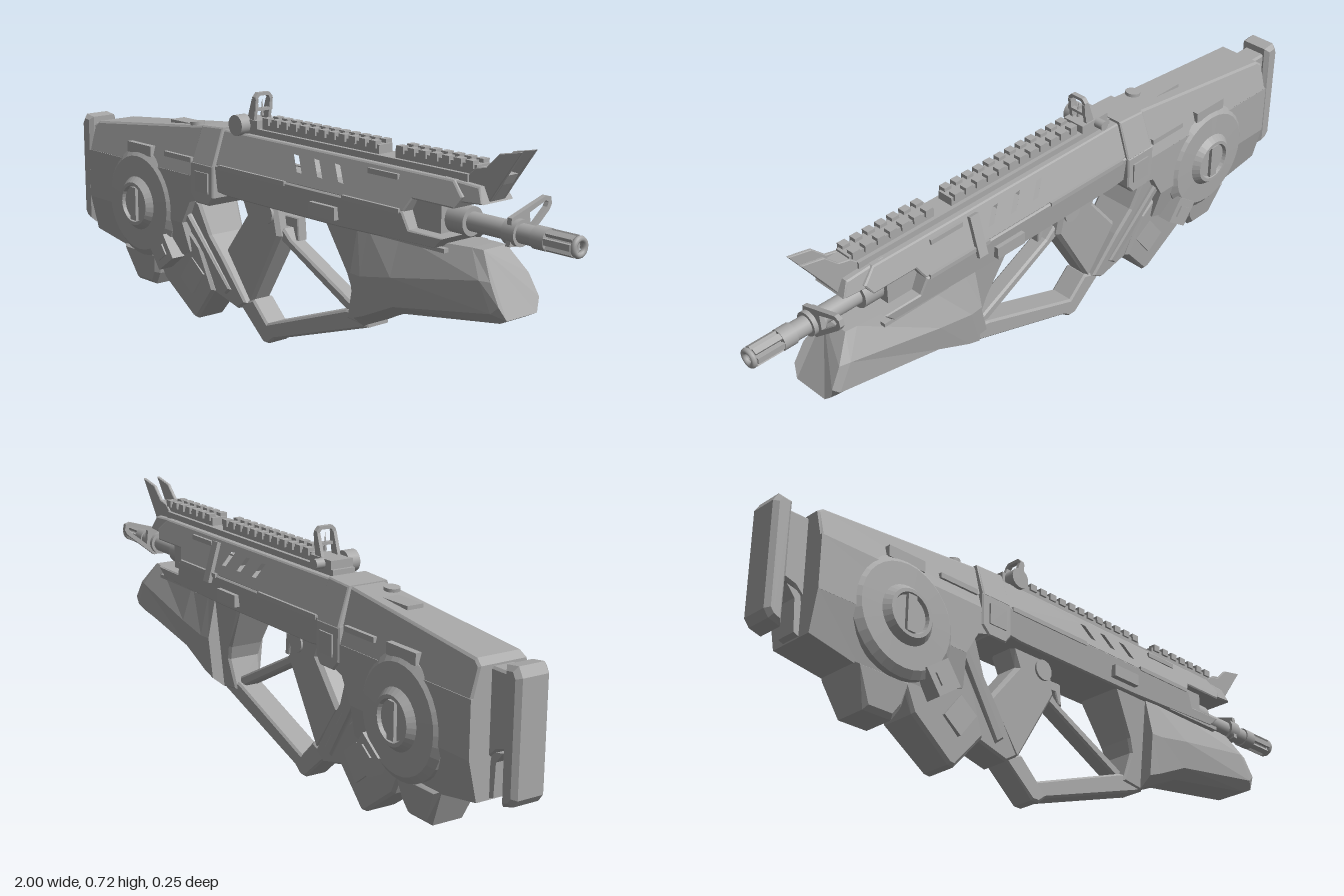
import * as THREE from 'three';

export function createModel() {
  const root = new THREE.Group();
  const grey = new THREE.MeshStandardMaterial({ color: 0xa8a8a8 });
  grey.name = 'gunmetal grey';

  const add = (name, geo, x = 0, y = 0, z = 0) => {
    const m = new THREE.Mesh(geo, grey);
    m.name = name;
    m.position.set(x, y, z);
    root.add(m);
    return m;
  };
  const box = (name, x0, x1, y0, y1, z0, z1) =>
    add(name, new THREE.BoxGeometry(x1 - x0, y1 - y0, z1 - z0), (x0 + x1) / 2, (y0 + y1) / 2, (z0 + z1) / 2);
  const vec = (pts) => pts.map(([x, y]) => new THREE.Vector2(x, y));

  // Side profile extruded across z; half width goes from wLow (lowest y) to wHigh (highest y)
  function slab(name, pts, wLow, wHigh = wLow, bevel = 0.006, holes = []) {
    const shape = new THREE.Shape(vec(pts));
    holes.forEach((h) => shape.holes.push(new THREE.Path(vec(h))));
    const geo = new THREE.ExtrudeGeometry(shape, {
      depth: 2 * (wLow - bevel), bevelEnabled: bevel > 0, bevelSize: bevel,
      bevelThickness: bevel, bevelOffset: -bevel, bevelSegments: 1,
    });
    geo.translate(0, 0, -(wLow - bevel));
    const ys = pts.map((p) => p[1]);
    const lo = Math.min(...ys), hi = Math.max(...ys);
    const p = geo.attributes.position;
    for (let i = 0; i < p.count; i++) {
      const t = (p.getY(i) - lo) / (hi - lo);
      p.setZ(i, p.getZ(i) * (1 + t * (wHigh / wLow - 1)));
    }
    geo.computeVertexNormals();
    return add(name, geo);
  }
  // Cylinder along x
  const rod = (name, x0, x1, r, y) => {
    const g = new THREE.CylinderGeometry(r, r, x1 - x0, 24);
    g.rotateZ(-Math.PI / 2);
    return add(name, g, (x0 + x1) / 2, y);
  };
  // Cylinder along z
  const knob = (name, x, y, z0, z1, r) => {
    const g = new THREE.CylinderGeometry(r, r, z1 - z0, 20);
    g.rotateX(Math.PI / 2);
    return add(name, g, x, y, (z0 + z1) / 2);
  };

  // Butt pad and its connector
  slab('buttPad', [[-0.985, 0.215], [-0.95, 0.205], [-0.945, 0.55], [-0.985, 0.555], [-1, 0.53], [-1, 0.235]], 0.05, 0.05, 0.012);
  slab('buttNeck', [[-0.95, 0.53], [-0.88, 0.53], [-0.88, 0.3], [-0.915, 0.33], [-0.95, 0.34]], 0.035);
  slab('buttLowerNeck', [[-0.935, 0.33], [-0.91, 0.3], [-0.905, 0.21], [-0.88, 0.2], [-0.88, 0.24], [-0.895, 0.32]], 0.03, 0.03, 0);

  // Stock, in three tapering layers
  slab('stockTop', [[-0.89, 0.455], [-0.89, 0.535], [-0.87, 0.55], [-0.34, 0.605], [-0.3, 0.455]], 0.095, 0.052);
  slab('stockMiddle', [[-0.89, 0.31], [-0.89, 0.46], [-0.3, 0.46], [-0.3, 0.4], [-0.37, 0.38], [-0.41, 0.31]], 0.095, 0.095, 0);
  slab('stockBottom', [[-0.89, 0.2], [-0.89, 0.312], [-0.41, 0.312], [-0.4, 0.22], [-0.55, 0.16], [-0.73, 0.17]], 0.06, 0.095, 0);
  slab('stockFoot', [[-0.75, 0.18], [-0.7, 0.07], [-0.61, 0.07], [-0.585, 0.11], [-0.57, 0.18]], 0.058, 0.075, 0.012);
  box('stockTopPlate', -0.55, -0.44, 0.55, 0.594, -0.025, 0.025);
  const stud = add('stockTopStud', new THREE.CylinderGeometry(0.022, 0.022, 0.03, 16), -0.41, 0.592, 0.03);
  stud.rotation.z = 0.11;

  // Round drum cover with a recessed hub and a key bar on each side
  const drumProfile = vec([[0.165, 0.07], [0.165, 0.088], [0.145, 0.103], [0.082, 0.105],
    [0.066, 0.123], [0.056, 0.123], [0.052, 0.113], [0, 0.113]]);
  for (const s of [1, -1]) {
    const g = new THREE.LatheGeometry(drumProfile, 32).toNonIndexed();
    g.computeVertexNormals();
    g.rotateX(s * Math.PI / 2);
    add('drumCover', g, -0.62, 0.335);
    box('drumKey', -0.634, -0.606, 0.284, 0.386, s * 0.117 - 0.006, s * 0.117 + 0.006);
    box('stockSidePort', -0.68, -0.56, 0.485, 0.517, s * 0.085 - 0.01, s * 0.085 + 0.01);
    // Tilted magazine latch and its raised frame
    const latch = box('magazineLatch', -0.54, -0.455, 0.165, 0.245, s * 0.085 - 0.025, s * 0.085 + 0.025);
    latch.rotation.z = 0.62;
    const latchKey = box('latchButton', -0.52, -0.475, 0.187, 0.223, s * 0.112 - 0.003, s * 0.112 + 0.003);
    latchKey.rotation.z = 0.62;
    const plate = box('magazineSidePlate', -0.435, -0.365, 0.1, 0.19, s * 0.063 - 0.006, s * 0.063 + 0.006);
    plate.rotation.z = -0.65;
  }

  // Magazine and diagonal frame
  slab('magazine', [[-0.6, 0.2], [-0.55, 0.105], [-0.42, 0.01], [-0.4, 0.008], [-0.31, 0.115], [-0.36, 0.24], [-0.45, 0.32]], 0.052, 0.075, 0.008);
  slab('diagonalFrame', [[-0.49, 0.37], [-0.38, 0.39], [-0.355, 0.375], [-0.315, 0.285], [-0.26, 0.22], [-0.175, 0.105],
    [-0.215, 0.08], [-0.33, 0.11], [-0.48, 0.26]], 0.045, 0.075);
  slab('frameRail', [[-0.43, 0.34], [-0.4, 0.345], [-0.235, 0.135], [-0.26, 0.115]], 0.056, 0.086, 0.005);

  // Collar between stock and receiver
  slab('collarLower', [[-0.36, 0.41], [-0.335, 0.385], [-0.275, 0.385], [-0.255, 0.41], [-0.255, 0.505], [-0.36, 0.505]], 0.1, 0.098, 0.004);
  slab('collarUpper', [[-0.355, 0.5], [-0.35, 0.607], [-0.255, 0.612], [-0.255, 0.5]], 0.098, 0.06, 0.004);

  // Receiver, with slanted vents through the upper half
  const vents = [0.05, 0.133, 0.215].map((x) => [[x, 0.585], [x + 0.028, 0.585], [x + 0.06, 0.535], [x + 0.032, 0.535]]);
  slab('receiverUpper', [[-0.27, 0.505], [-0.27, 0.605], [0.64, 0.605], [0.68, 0.57], [0.66, 0.54], [0.52, 0.54], [0.5, 0.505]],
    0.086, 0.052, 0.004, vents);
  slab('receiverLower', [[-0.3, 0.43], [-0.3, 0.507], [0.5, 0.507], [0.52, 0.462], [0.64, 0.462], [0.61, 0.43], [0.26, 0.42], [-0.2, 0.42]],
    0.08, 0.09, 0.004);
  box('receiverCore', 0.45, 0.6, 0.45, 0.55, -0.05, 0.05);
  for (const s of [1, -1]) {
    const strip = (name, x0, x1, y0, y1, z, t = 0.008) => box(name, x0, x1, y0, y1, s * z - t, s * z + t);
    strip('receiverLatch', 0.16, 0.26, 0.44, 0.475, 0.089, 0.01);
    strip('sideRib', -0.24, 0.05, 0.497, 0.51, 0.084);
    strip('sideRib', 0.28, 0.49, 0.5, 0.512, 0.084);
    strip('receiverClip', 0.35, 0.46, 0.578, 0.592, 0.057);
    strip('forendSeam', 0.42, 0.64, 0.425, 0.436, 0.072);
    strip('collarTab', -0.5, -0.37, 0.497, 0.512, 0.082);
    strip('collarClasp', -0.335, -0.275, 0.42, 0.48, 0.1, 0.003);
  }
  const handle = box('chargingHandle', 0.3, 0.33, 0.48, 0.6, -0.088, -0.076);
  handle.rotation.x = 0.28;

  // Top rail in two lengths, each with a double row of low teeth
  box('railBase', -0.24, 0.67, 0.6, 0.622, -0.035, 0.035);
  for (const [x0, x1] of [[-0.12, 0.35], [0.41, 0.69]]) {
    box('rail', x0, x1, 0.615, 0.646, -0.024, 0.024);
    const n = Math.round((x1 - x0) / 0.038);
    for (let i = 0; i < n; i++) {
      const x = x0 + (i + 0.5) * (x1 - x0) / n;
      for (const z of [-0.019, 0.019]) box('railTooth', x - 0.012, x + 0.012, 0.636, 0.656, z - 0.011, z + 0.011);
    }
  }

  // Rear flip sight: base, knobs, ring and post
  box('rearSightBase', -0.23, -0.13, 0.61, 0.645, -0.035, 0.035);
  knob('rearSightKnob', -0.19, 0.628, 0.03, 0.066, 0.03);
  knob('rearSightScrew', -0.19, 0.632, -0.062, -0.03, 0.014);
  for (const s of [1, -1]) slab('rearSightArm', [[-0.18, 0.64], [-0.15, 0.64], [-0.14, 0.705], [-0.158, 0.705]], 0.005, 0.005, 0).position.z = s * 0.026;
  const hoop = new THREE.Shape(vec([[-0.031, 0.67], [0.031, 0.67], [0.031, 0.71], [0.02, 0.722], [-0.02, 0.722], [-0.031, 0.71]]));
  hoop.holes.push(new THREE.Path(vec([[-0.02, 0.678], [0.02, 0.678], [0.022, 0.705], [0.015, 0.713], [-0.015, 0.713], [-0.022, 0.705]])));
  const hoopGeo = new THREE.ExtrudeGeometry(hoop, { depth: 0.014, bevelEnabled: false });
  hoopGeo.rotateY(Math.PI / 2);
  add('rearSightHoop', hoopGeo, -0.156);
  add('rearSightPost', new THREE.ConeGeometry(0.005, 0.05, 8), -0.15, 0.68, 0);

  // Swept front fin: solid root with a pair of thin prongs
  slab('finCore', [[0.675, 0.56], [0.735, 0.56], [0.77, 0.61], [0.785, 0.635], [0.69, 0.64], [0.66, 0.615]], 0.022, 0.022, 0.003);
  for (const s of [1, -1])
    slab('finProng', [[0.675, 0.56], [0.735, 0.56], [0.77, 0.61], [0.835, 0.7], [0.765, 0.686], [0.725, 0.648], [0.69, 0.64], [0.66, 0.615]],
      0.005, 0.005, 0.002).position.z = s * 0.024;
  slab('finRoot', [[0.6, 0.55], [0.74, 0.56], [0.72, 0.6], [0.6, 0.606]], 0.06, 0.045, 0.004);

  // Barrel and slotted muzzle
  rod('barrelShroud', 0.5, 0.66, 0.038, 0.497);
  rod('barrel', 0.64, 0.88, 0.025, 0.497);
  rod('barrelCollar', 0.78, 0.82, 0.034, 0.497);
  rod('muzzleRing', 0.865, 0.905, 0.029, 0.497);
  rod('muzzleInner', 0.88, 0.985, 0.012, 0.497);
  for (let i = 0; i < 6; i++) {
    const a = (i / 6) * Math.PI * 2;
    const bar = box('muzzleBar', 0.89, 0.985, -0.005, 0.005, -0.008, 0.008);
    bar.position.y = 0.497 + 0.022 * Math.sin(a);
    bar.position.z = 0.022 * Math.cos(a);
    bar.rotation.x = Math.PI / 2 - a;
  }
  const tip = new THREE.TorusGeometry(0.02, 0.008, 8, 24);
  tip.rotateY(Math.PI / 2);
  add('muzzleTip', tip, 0.992, 0.497);

  // Looped lever leaning to one side of the barrel (drawn in z,y)
  const lever = new THREE.Shape(vec([[0.03, 0.465], [-0.02, 0.46], [-0.112, 0.535], [-0.121, 0.55], [-0.117, 0.568], [-0.1, 0.573], [0.025, 0.535]]
    .map(([z, y]) => [-z, y])));
  lever.holes.push(new THREE.Path(vec([[0.045, 0.497], [0.103, 0.544], [0.108, 0.555], [0.099, 0.561], [0.04, 0.54]])));
  const leverGeo = new THREE.ExtrudeGeometry(lever, { depth: 0.014, bevelEnabled: false });
  leverGeo.rotateY(Math.PI / 2);
  add('barrelLever', leverGeo, 0.793);

  // Faceted forend lofted from eight-sided sections: per level [x, y, half width], top to bottom
  const sections = [
    [[0.32, 0.43, 0.07], [0.32, 0.31, 0.095], [0.32, 0.185, 0.082], [0.32, 0.155, 0.045]],
    [[0.36, 0.432, 0.07], [0.36, 0.31, 0.098], [0.36, 0.2, 0.085], [0.36, 0.175, 0.046]],
    [[0.47, 0.436, 0.062], [0.47, 0.33, 0.097], [0.47, 0.25, 0.086], [0.47, 0.224, 0.046]],
    [[0.7, 0.446, 0.045], [0.755, 0.38, 0.078], [0.795, 0.305, 0.078], [0.803, 0.277, 0.05]],
    [[0.735, 0.446, 0.042], [0.785, 0.38, 0.07], [0.817, 0.325, 0.074], [0.828, 0.29, 0.055]],
  ].map((lv) => [...lv, ...lv.map(([x, y, w]) => [x, y, -w]).reverse()]);
  const tri = [];
  for (let i = 0; i < sections.length - 1; i++)
    for (let j = 0; j < 8; j++) {
      const k = (j + 1) % 8;
      const [a, b, c, d] = [sections[i][j], sections[i][k], sections[i + 1][k], sections[i + 1][j]];
      tri.push(...a, ...b, ...c, ...a, ...c, ...d);
    }
  const [rear, front] = [sections[0], sections[sections.length - 1]];
  for (let j = 1; j < 7; j++) {
    tri.push(...front[0], ...front[j], ...front[j + 1]);
    tri.push(...rear[0], ...rear[j + 1], ...rear[j]);
  }
  const forend = new THREE.BufferGeometry();
  forend.setAttribute('position', new THREE.Float32BufferAttribute(tri, 3));
  forend.computeVertexNormals();
  add('forend', forend);
  box('forendBridge', 0.33, 0.58, 0.41, 0.445, -0.055, 0.055);

  // Pistol grip, trigger and open lower guard
  slab('pistolGrip', [[-0.2, 0.43], [-0.05, 0.43], [-0.03, 0.33], [-0.165, 0.1], [-0.275, 0.245], [-0.175, 0.37]], 0.036, 0.045, 0.01);
  knob('gripPivot', -0.08, 0.39, -0.05, 0.05, 0.03);
  slab('trigger', [[-0.035, 0.39], [0.02, 0.39], [0.025, 0.325], [0.012, 0.325], [0.0, 0.36], [-0.03, 0.36]], 0.016, 0.016, 0.003);
  slab('guardStrut', [[-0.045, 0.35], [-0.03, 0.352], [0.0, 0.325], [0.26, 0.195], [0.25, 0.165], [-0.04, 0.315]], 0.026);
  slab('guardBar', [[-0.215, 0.095], [-0.11, 0.003], [-0.085, 0.003], [-0.06, 0.022], [0.32, 0.147], [0.32, 0.19], [0.24, 0.18],
    [-0.09, 0.062], [-0.15, 0.12]], 0.038);
  slab('guardArm', [[0.19, 0.425], [0.33, 0.425], [0.33, 0.15], [0.25, 0.16], [0.275, 0.25], [0.262, 0.29]], 0.042, 0.07);
  return root;
}
